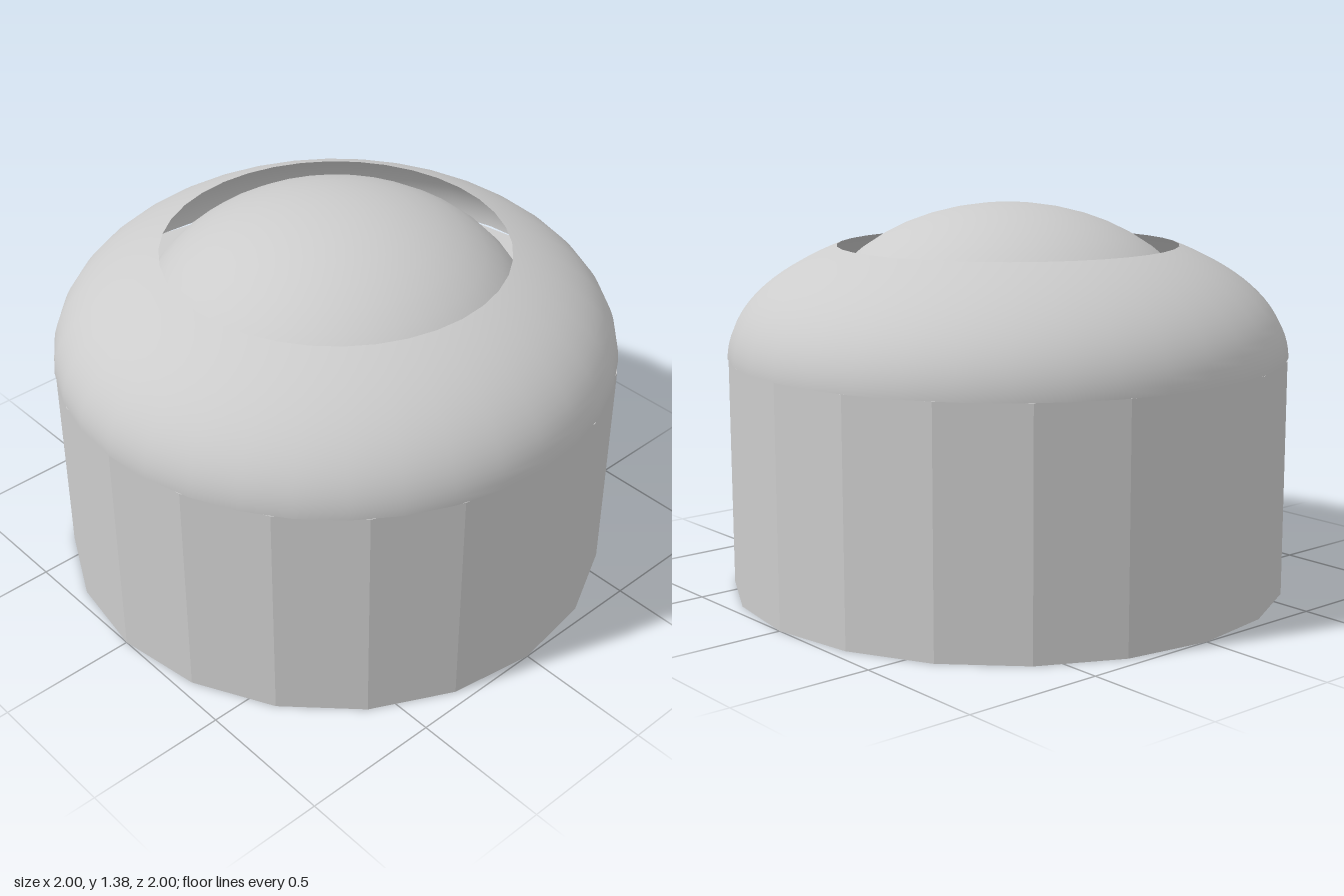
import * as THREE from 'three';

export function createModel() {
  const group = new THREE.Group();
  const grey = new THREE.MeshStandardMaterial({ color: 0xcccccc });
  grey.name = 'plain grey';
  // same grey for the faceted drum and the open shell
  const facetedGrey = grey.clone();
  facetedGrey.flatShading = true;
  const shellGrey = grey.clone();
  shellGrey.side = THREE.DoubleSide;

  const add = (name, geometry, material, y) => {
    const mesh = new THREE.Mesh(geometry, material);
    mesh.name = name;
    mesh.position.y = y;
    group.add(mesh);
  };

  const seam = 0.84;

  // faceted drum
  add('base', new THREE.CylinderGeometry(1, 1, seam, 20), facetedGrey, seam / 2);

  // flattened half sphere with a round opening of radius 0.61, hollow inside
  const opening = Math.asin(0.61);
  const shell = new THREE.SphereGeometry(1, 36, 16, 0, Math.PI * 2, opening, Math.PI / 2 - opening);
  shell.scale(1, 0.49, 1);
  add('outerShell', shell, shellGrey, seam);

  // smaller dome rising through the opening
  const dome = new THREE.SphereGeometry(1, 36, 12, 0, Math.PI * 2, 0, Math.PI / 2);
  dome.scale(0.73, 0.535, 0.73);
  add('innerDome', dome, grey, seam);

  return group;
}
